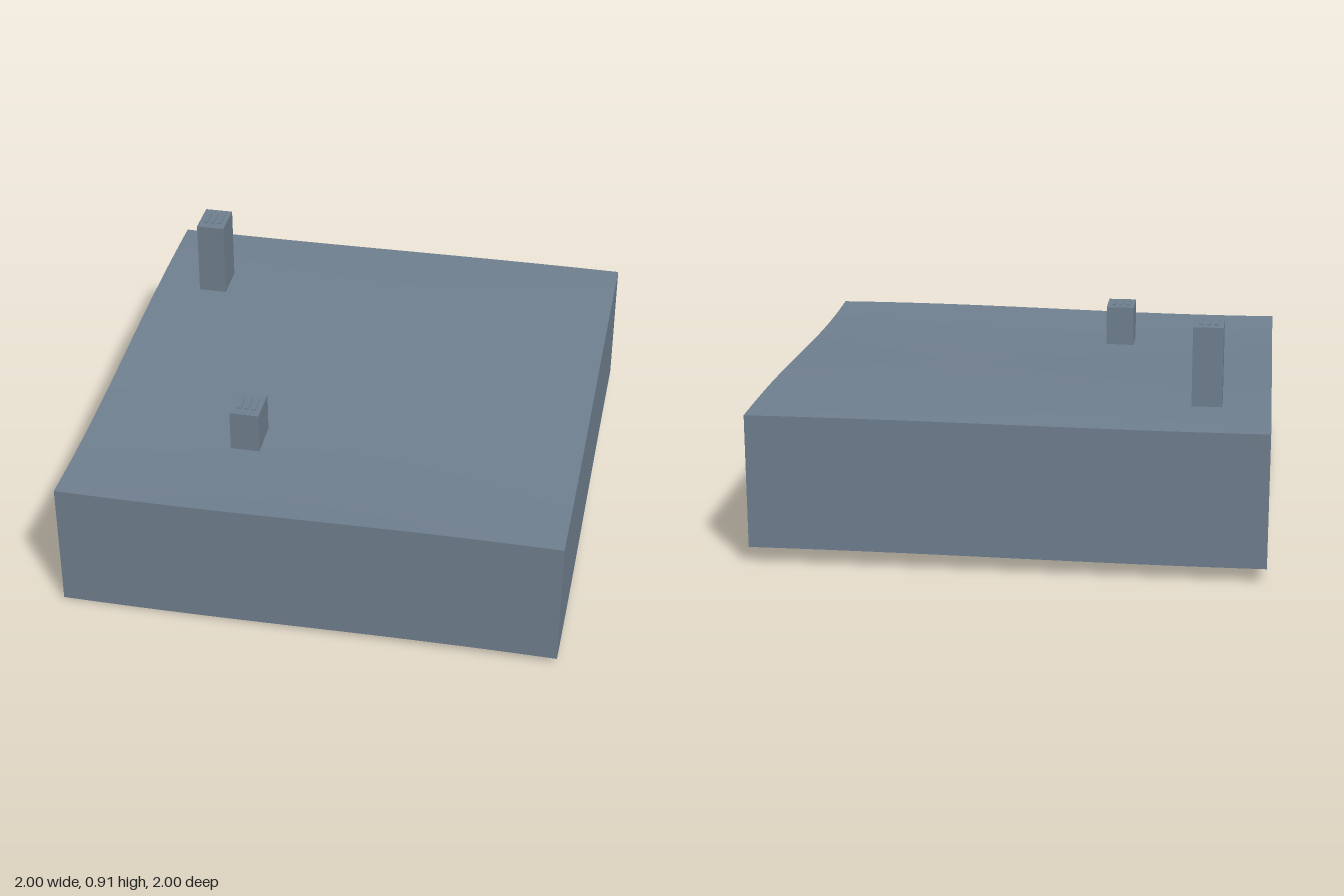
import * as THREE from 'three';

const DEPTH = 0.534; // height of the skirt walls
const SEGS = 32;

// Gently rolling height of the skirt's lower edge; the ground follows it
function lowerEdge(x, z) {
  const wave = Math.sin(2.1 * z);
  const roll = 0.0075 * (1 + 0.4 * wave) * Math.sin(2.1 * x);
  return Math.max(0, 0.0365 - 0.027 * wave + 0.005 * z ** 4 + roll);
}

export function createModel() {
  const group = new THREE.Group();
  const slate = new THREE.MeshStandardMaterial({ color: 0x708090, side: THREE.DoubleSide });
  slate.name = 'slate';

  function add(parent, name, geometry, x = 0, y = 0, z = 0) {
    const mesh = new THREE.Mesh(geometry, slate);
    mesh.name = name;
    mesh.position.set(x, y, z);
    parent.add(mesh);
    return mesh;
  }

  // Rolling ground
  const ground = new THREE.PlaneGeometry(2, 2, SEGS, SEGS).rotateX(-Math.PI / 2);
  const gp = ground.attributes.position;
  for (let i = 0; i < gp.count; i++) gp.setY(i, lowerEdge(gp.getX(i), gp.getZ(i)) + DEPTH);
  ground.computeVertexNormals();
  add(group, 'ground', ground);

  // Four skirt walls, open underneath
  ['front', 'left', 'back', 'right'].forEach((side, k) => {
    const wall = new THREE.PlaneGeometry(2, DEPTH, SEGS, 1)
      .translate(0, DEPTH / 2, 1)
      .rotateY(k * Math.PI / 2);
    const p = wall.attributes.position;
    for (let i = 0; i < p.count; i++) p.setY(i, p.getY(i) + lowerEdge(p.getX(i), p.getZ(i)));
    add(group, side + 'Skirt', wall);
  });

  // Block tower with roof strips and small windows
  function tower(name, x, z, base, top, rows) {
    const w = 0.118, d = 0.157, h = top - base;
    const t = new THREE.Group();
    t.name = name;
    t.position.set(x, base, z);
    group.add(t);
    add(t, 'walls', new THREE.BoxGeometry(w, h, d), 0, h / 2, 0);
    for (const sx of [-0.03, 0, 0.03]) {
      add(t, 'roofStrip', new THREE.BoxGeometry(0.016, 0.005, 0.08), sx, h + 0.0025, 0);
    }
    for (let r = 0; r < rows; r++) {
      const y = h * (r + 1) / (rows + 1);
      for (const s of [-1, 1]) {
        for (const o of [-0.03, 0.03]) {
          add(t, 'window', new THREE.BoxGeometry(0.008, 0.01, 0.001), o, y, s * d / 2);
          add(t, 'window', new THREE.BoxGeometry(0.001, 0.01, 0.008), s * w / 2, y, o);
        }
      }
    }
  }
  tower('tallTower', -0.75, -0.583, 0.588, 0.91, 4);
  tower('shortTower', -0.336, 0.5, 0.54, 0.71, 2);

  return group;
}
